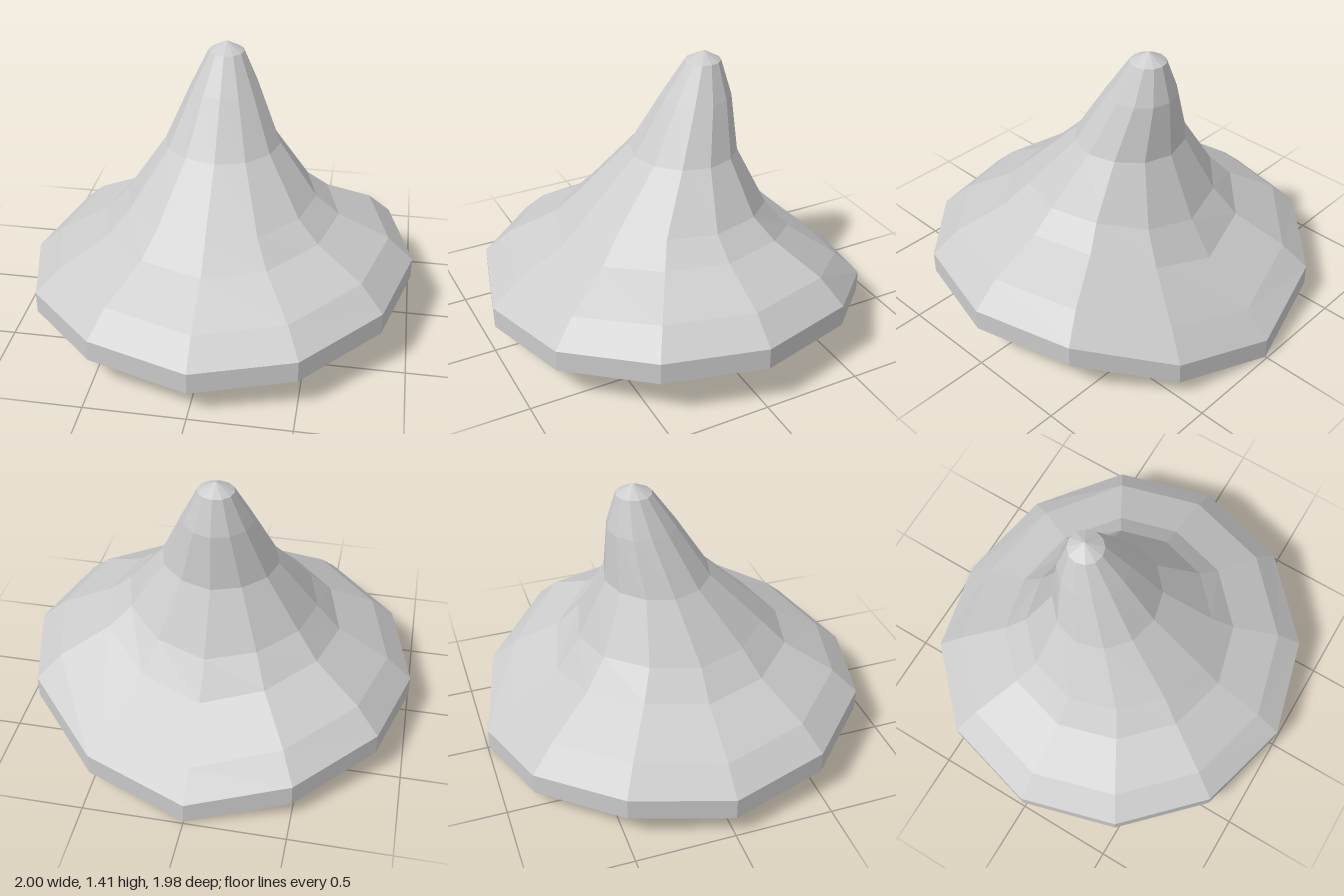
import * as THREE from 'three';

const SIDES = 12;

// Height of the rim at each corner, going round from the front (+z) to the left (+x)
const rimHeights = [0.255, 0.285, 0.335, 0.34, 0.335, 0.21, 0.11, 0.2, 0.255, 0.225, 0.26, 0.28];
const MEAN_RIM = 0.257;

// Rings from the hollow underside up to the tip:
// radius, height, z offset of the centre, share of the rim's waviness, depth scale
const rings = [
  { r: 0, y: 0.41, z: 0, wave: 0, depth: 1 },
  { r: 1, y: 0.147, z: 0, wave: 1, depth: 0.99 },
  { r: 1, y: 0.257, z: 0, wave: 1, depth: 0.99 },
  { r: 0.87, y: 0.376, z: 0, wave: 1, depth: 0.985 },
  { r: 0.61, y: 0.52, z: 0, wave: 0.7, depth: 0.99 },
  { r: 0.49, y: 0.645, z: 0, wave: 0.37, depth: 0.98 },
  { r: 0.295, y: 0.918, z: -0.065, wave: 0.1, depth: 0.91 },
  { r: 0.175, y: 1.19, z: -0.14, wave: 0, depth: 1 },
  { r: 0.09, y: 1.365, z: -0.175, wave: 0, depth: 1 },
  { r: 0, y: 1.413, z: -0.18, wave: 0, depth: 1 },
];

function createHatGeometry() {
  const profile = rings.map((ring) => new THREE.Vector2(ring.r, ring.y));
  const lathe = new THREE.LatheGeometry(profile, SIDES);
  const pos = lathe.attributes.position;

  // Wave the brim and lean the crown backwards
  for (let i = 0; i < pos.count; i++) {
    const ring = rings[i % rings.length];
    const side = Math.floor(i / rings.length) % SIDES;
    pos.setY(i, ring.y + ring.wave * (rimHeights[side] - MEAN_RIM));
    pos.setZ(i, pos.getZ(i) * ring.depth + ring.z);
  }

  const geometry = lathe.toNonIndexed();
  geometry.computeVertexNormals();
  return geometry;
}

export function createModel() {
  const group = new THREE.Group();
  group.name = 'pointedHat';

  // Brim, crown and underside in one closed skin
  const material = new THREE.MeshStandardMaterial({ color: 0xcccccc, flatShading: true });
  const hat = new THREE.Mesh(createHatGeometry(), material);
  hat.name = 'brimAndCrown';
  group.add(hat);

  return group;
}
